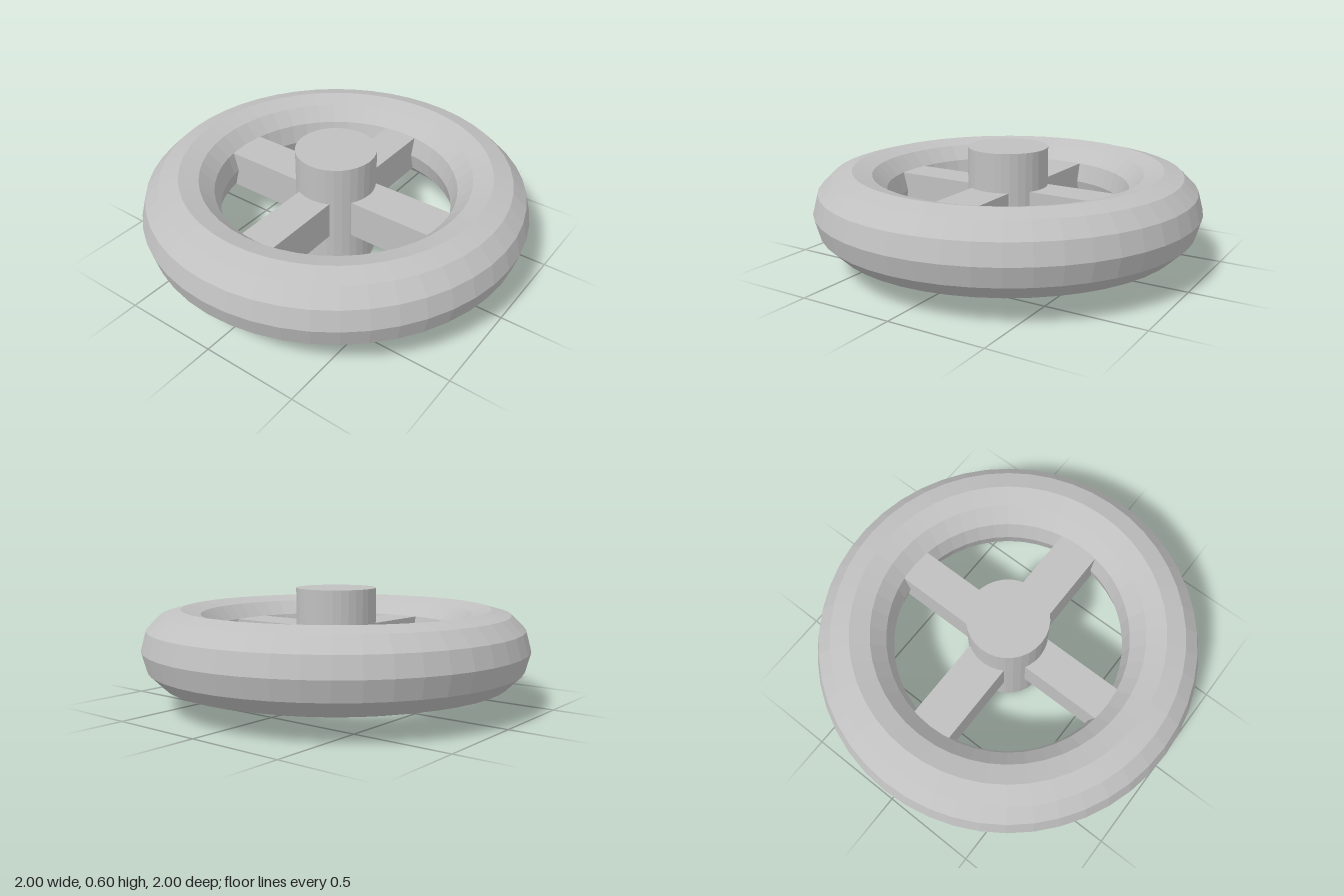
import * as THREE from 'three';

export function createModel() {
  const group = new THREE.Group();
  const grey = new THREE.MeshStandardMaterial({ color: 0xc0c0c0, flatShading: true });
  grey.name = 'light grey';
  const midY = 0.3;

  const add = (name, geometry) => {
    const mesh = new THREE.Mesh(geometry, grey);
    mesh.name = name;
    mesh.position.y = midY;
    group.add(mesh);
  };

  // Faceted ring lying flat
  add('rim', new THREE.TorusGeometry(0.8, 0.2, 12, 48).rotateX(Math.PI / 2));

  // Solid hub standing proud of the rim on both sides
  add('hub', new THREE.CylinderGeometry(0.208, 0.208, 0.6, 32));

  // Crossed bars whose ends sink into the rim
  add('sideSpokes', new THREE.BoxGeometry(1.5, 0.2, 0.19));
  add('frontBackSpokes', new THREE.BoxGeometry(0.22, 0.2, 1.5));

  return group;
}
